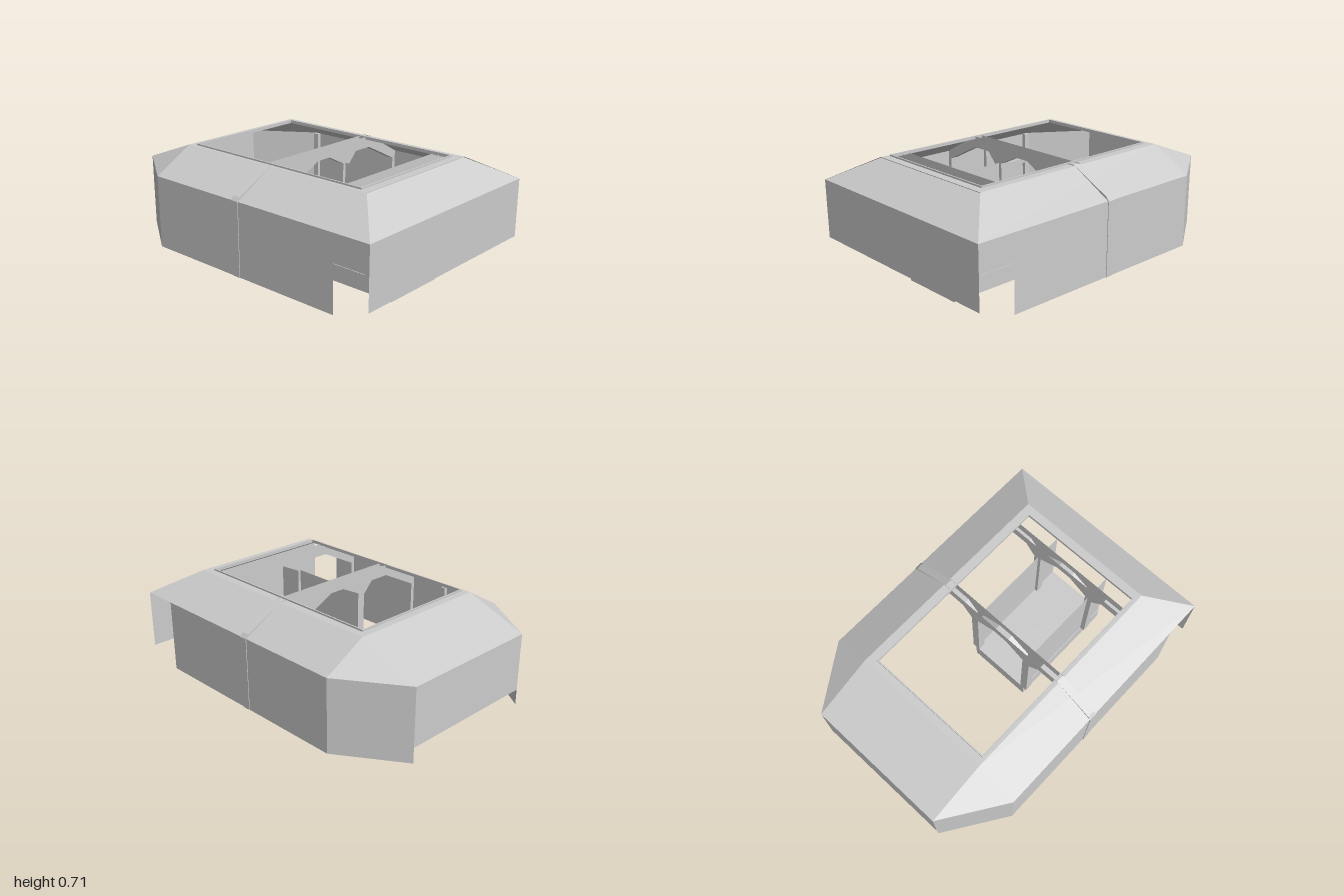
import * as THREE from 'three';

const material = new THREE.MeshStandardMaterial({ color: 0xcccccc, flatShading: true, side: THREE.DoubleSide });

export function createModel() {
  const group = new THREE.Group();

  function add(name, geometry) {
    const mesh = new THREE.Mesh(geometry, material);
    mesh.name = name;
    group.add(mesh);
    return mesh;
  }

  // Box given by its minimum and maximum corners
  function box(name, a, b) {
    const mesh = add(name, new THREE.BoxGeometry(b[0] - a[0], b[1] - a[1], b[2] - a[2]));
    mesh.position.set((a[0] + b[0]) / 2, (a[1] + b[1]) / 2, (a[2] + b[2]) / 2);
  }

  // Flat convex panel from its corners
  function panel(name, ...corners) {
    const positions = [];
    for (let i = 1; i < corners.length - 1; i++) positions.push(...corners[0], ...corners[i], ...corners[i + 1]);
    const geometry = new THREE.BufferGeometry();
    geometry.setAttribute('position', new THREE.Float32BufferAttribute(positions, 3));
    geometry.computeVertexNormals();
    add(name, geometry);
  }

  // Strip that carries an x-y line from one z to another
  function strip(name, line, z0, z1) {
    for (let i = 0; i < line.length - 1; i++) {
      const [p, q] = [line[i], line[i + 1]];
      panel(name, [...p, z0], [...q, z0], [...q, z1], [...p, z1]);
    }
  }

  const eave = 0.555, top = 0.7, foot = 0.105, fasciaFoot = 0.19;
  const W = 0.705, w = 0.45, backZ = -0.62, frontZ = 0.77;

  // Outer walls and the sloping roof
  panel('frontFascia', [-W, fasciaFoot, 1], [W, fasciaFoot, 1], [W, eave, 1], [-W, eave, 1]);
  panel('frontRoof', [-W, eave, 1], [W, eave, 1], [w, top - 0.004, frontZ], [-w, top - 0.004, frontZ]);
  panel('backWall', [w, 0.2, -1], [-w, 0.2, -1], [-w, eave, -1], [w, eave, -1]);
  panel('backRoof', [w, eave, -1], [-w, eave, -1], [-w, top, backZ], [w, top, backZ]);
  box('backSill', [-w, 0.2, -0.995], [w, 0.225, -0.975]);
  for (const s of [1, -1]) {
    panel('sideWall', [s * W, foot, frontZ], [s * W, foot, backZ], [s * W, eave, backZ], [s * W, eave, frontZ]);
    panel('angledWall', [s * W, foot, backZ], [s * w, foot, -1], [s * w, eave, -1], [s * W, eave, backZ]);
    panel('sideRoof', [s * W, eave, 1], [s * W, eave, backZ], [s * w, top, backZ], [s * w, top, frontZ]);
    panel('cornerRoof', [s * W, eave, backZ], [s * w, eave, -1], [s * w, top, backZ]);
    const x0 = s > 0 ? 0.68 : -0.704;
    box('wallPost', [x0, foot, -0.62], [x0 + 0.024, eave, -0.58]);
  }

  // Side rail and its post
  box('railPost', [-0.704, foot, -0.25], [-0.68, eave, -0.22]);
  box('sideRail', [-0.704, 0.35, -0.58], [-0.68, 0.38, -0.25]);

  // Flat ring and thin raised rim around the roof opening
  const hole = { x0: -0.43, x1: 0.4, z0: -0.575, z1: 0.72 };
  box('roofFrame', [-w, top - 0.008, backZ], [hole.x0, top, frontZ]);
  box('roofFrame', [hole.x1, top - 0.008, backZ], [w, top, frontZ]);
  box('roofFrame', [hole.x0, top - 0.008, backZ], [hole.x1, top, hole.z0]);
  box('roofFrame', [hole.x0, top - 0.008, hole.z1], [hole.x1, top, frontZ]);
  const rim = 0.008;
  for (const x of [hole.x0, hole.x1 - rim]) box('openingRim', [x, top - 0.01, hole.z0], [x + rim, 0.71, hole.z1]);
  for (const z of [hole.z0, hole.z1 - rim]) box('openingRim', [hole.x0, top - 0.01, z], [hole.x1, 0.71, z + rim]);

  // Cross ribs: two faces pierced by three arches, joined by the arch linings
  const mirror = (line) => line.map(([x, y]) => [-x, y]).reverse();
  const middleArch = [[-0.18, foot], [-0.18, 0.58], [-0.05, 0.645], [0.05, 0.645], [0.18, 0.58], [0.18, foot]];
  const sideArch = [[0.23, foot], [0.23, 0.56], [0.3, 0.635], [0.43, 0.635], [0.68, 0.51], [0.68, foot]];
  function rib(z0, z1, raised) {
    const slope = raised
      ? [[0.709, foot], [0.709, eave], [0.69, 0.578], [0.44, 0.705]]
      : [[0.704, foot], [0.704, eave], [0.45, 0.696]];
    const outline = [...mirror(sideArch), ...middleArch, ...sideArch, ...slope, ...mirror(slope)];
    const shape = new THREE.Shape(outline.map((p) => new THREE.Vector2(...p)));
    for (const z of [z0, z1]) add('ribFace', new THREE.ShapeGeometry(shape)).position.z = z;
    for (const arch of [mirror(sideArch), middleArch, sideArch]) strip('archLining', arch, z0, z1);
    if (raised) for (const line of [slope, mirror(slope)]) strip('roofBand', line, z0, z1);
  }
  rib(0.03, 0.08, true);
  rib(0.59, 0.635, false);

  // Lengthwise partitions and the lowered centre floor
  for (const x of [-0.2, 0.2]) {
    panel('partition', [x, foot, 0.08], [x, foot, frontZ], [x, 0.58, frontZ], [x, 0.58, 0.08]);
  }
  box('centreFloor', [-0.205, 0, 0.03], [0.205, foot, frontZ]);

  return group;
}
